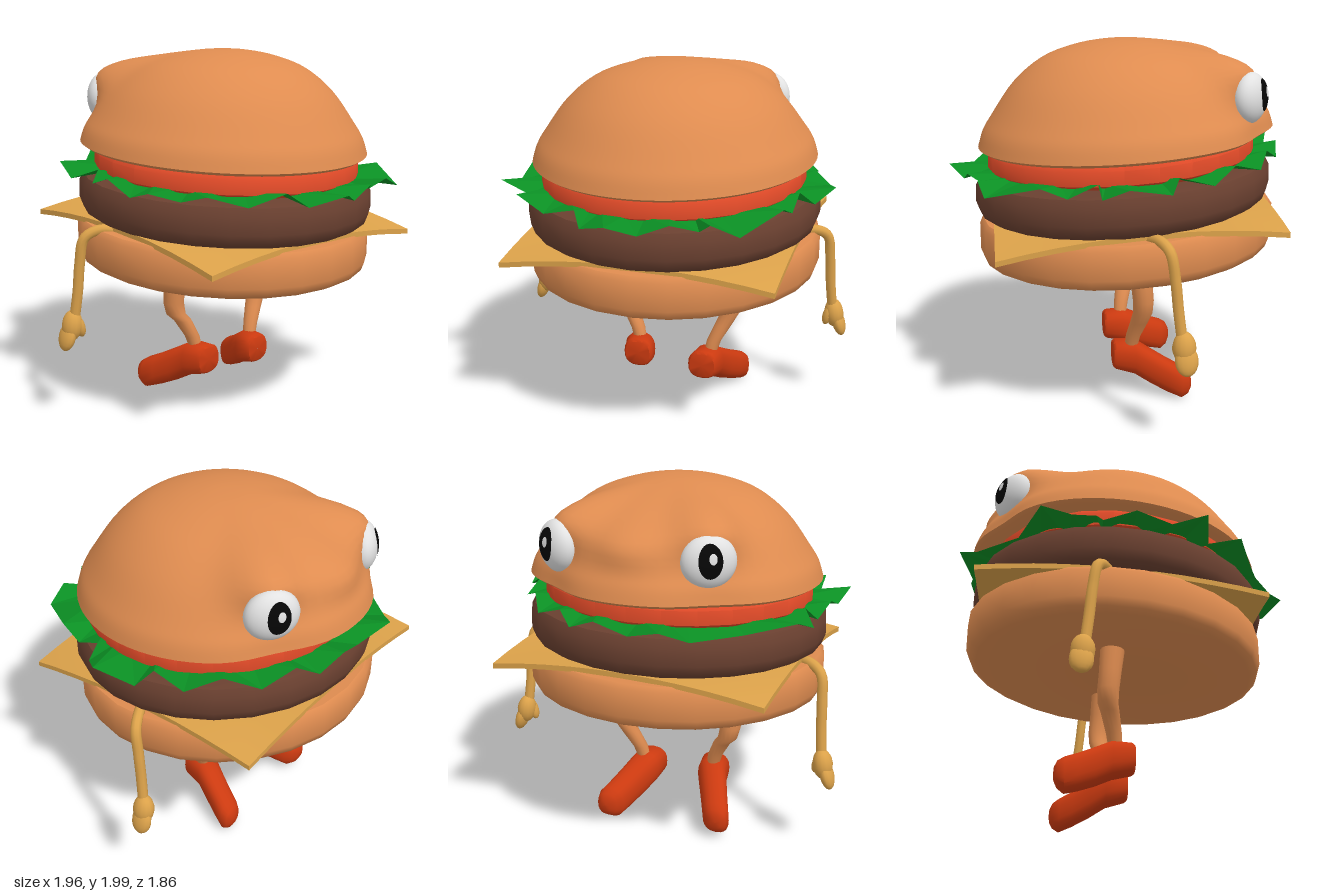
import * as THREE from 'three';
import { mergeVertices, toCreasedNormals } from 'three/addons/utils/BufferGeometryUtils.js';

const mat = (name, color, side = THREE.FrontSide) => {
  const m = new THREE.MeshStandardMaterial({ color, side });
  m.name = name;
  return m;
};

// Visit every vertex with a rule that edits it in place
function bend(geo, rule) {
  const p = geo.attributes.position, v = new THREE.Vector3();
  for (let i = 0; i < p.count; i++) {
    v.fromBufferAttribute(p, i);
    rule(v);
    p.setXYZ(i, v.x, v.y, v.z);
  }
  return geo;
}

// Weld seams, then smooth everything below the crease angle
function smooth(geo, crease = 0.8) {
  geo.deleteAttribute('uv');
  geo.deleteAttribute('normal');
  return toCreasedNormals(mergeVertices(geo, 1e-4), crease);
}

// Skin oval rings [x, y, z, ru, rv], listed bottom-to-top (axis y) or heel-to-toe (axis -z)
function loft(rings, axis, sides = 14, power = 1) {
  const pos = [], idx = [], n = sides;
  const pw = (a) => Math.sign(a) * Math.abs(a) ** power;
  rings.forEach(([x, y, z, ru, rv]) => {
    for (let i = 0; i < n; i++) {
      const t = (i / n) * Math.PI * 2, c = pw(Math.cos(t)), s = pw(Math.sin(t));
      if (axis === 'y') pos.push(x + ru * s, y, z + rv * c);
      else pos.push(x + ru * c, y - rv * s, z);
    }
  });
  for (let r = 0; r < rings.length - 1; r++) {
    for (let i = 0; i < n; i++) {
      const a = r * n + i, b = r * n + ((i + 1) % n), c = b + n, d = a + n;
      idx.push(a, b, d, c, d, b);
    }
  }
  const g = new THREE.BufferGeometry();
  g.setAttribute('position', new THREE.Float32BufferAttribute(pos, 3));
  g.setIndex(idx);
  return toCreasedNormals(g, 0.9);
}

export function createModel() {
  const root = new THREE.Group();
  const M = {
    bun: mat('bun', 0xdf8c50), patty: mat('patty', 0x6a4030),
    cheese: mat('cheese', 0xdca24a), tomato: mat('tomato', 0xe04a28),
    lettuce: mat('lettuce', 0x0b9024, THREE.DoubleSide), shoe: mat('shoe', 0xcc3a10),
    white: mat('eyeWhite', 0xe2e2e2), black: mat('pupil', 0x060606),
  };
  const add = (name, geo, material, parent = root) => {
    const m = new THREE.Mesh(geo, material);
    m.name = name;
    parent.add(m);
    return m;
  };

  // Round layers, all rising towards the face side (-z)
  const layer = (name, profile, cz, slope, material, segments = 26) => {
    const g = new THREE.LatheGeometry(profile.map(([r, y]) => new THREE.Vector2(r, y)), segments);
    bend(g, (v) => { v.z += cz; v.y -= slope * v.z; });
    add(name, smooth(g), material);
  };
  layer('bottomBun', [[0, 0.822], [0.765, 0.824], [0.805, 0.845], [0.822, 0.89], [0.822, 1.04],
    [0.8, 1.066], [0, 1.066]], -0.05, 0.064, M.bun);
  layer('patty', [[0, 1.088], [0.76, 1.09], [0.8, 1.115], [0.82, 1.17], [0.818, 1.26],
    [0.795, 1.305], [0.74, 1.318], [0, 1.318]], -0.03, 0.068, M.patty);
  layer('tomato', [[0, 1.325], [0.7, 1.33], [0.737, 1.355], [0.737, 1.43], [0.71, 1.458],
    [0, 1.46]], -0.02, 0.068, M.tomato);

  // Square cheese slice with drooping corners
  const cheese = new THREE.BoxGeometry(1.49, 0.028, 1.49, 10, 1, 10);
  bend(cheese, (v) => {
    v.y += 1.082 - 0.065 * (v.z - 0.05) - 0.062 * (v.x * v.z / 0.555) ** 2;
  });
  const slice = add('cheeseSlice', smooth(cheese, 0.5), M.cheese);
  slice.position.z = -0.05;
  slice.rotation.y = -0.02;

  // Ragged lettuce leaf: outline in x, z joined to a smaller inner loop
  const leaf = [[-0.36, -0.83], [-0.24, -0.93], [-0.05, -0.86], [0.12, -0.88], [0.27, -0.84],
    [0.36, -0.76], [0.53, -0.68], [0.63, -0.52], [0.76, -0.38], [0.77, -0.2], [0.86, -0.15],
    [0.92, 0.07], [0.83, 0.19], [0.75, 0.2], [0.74, 0.35], [0.72, 0.48], [0.56, 0.75],
    [0.42, 0.78], [0.35, 0.72], [0.23, 0.83], [0.07, 0.85], [-0.07, 0.93], [-0.24, 0.82],
    [-0.3, 0.73], [-0.5, 0.66], [-0.69, 0.57], [-0.7, 0.39], [-0.88, 0.36], [-0.85, 0.18],
    [-0.85, 0], [-0.82, -0.17], [-0.76, -0.2], [-0.84, -0.33], [-0.8, -0.49], [-0.56, -0.6]];
  const lp = [];
  const outer = leaf.map(([x, z], i) => [x, 1.343 - 0.065 * z + (i % 2 ? 0.035 : -0.025), z]);
  const inner = leaf.map(([x, z]) => {
    const k = 0.66 / Math.hypot(x, z);
    return [x * k, 1.352 - 0.068 * z * k, z * k];
  });
  leaf.forEach((_, i) => {
    const j = (i + 1) % leaf.length;
    lp.push(...inner[i], ...inner[j], ...outer[i], ...outer[j], ...outer[i], ...inner[j]);
  });
  const leafGeo = new THREE.BufferGeometry();
  leafGeo.setAttribute('position', new THREE.Float32BufferAttribute(lp, 3));
  leafGeo.computeVertexNormals();
  add('lettuce', leafGeo, M.lettuce);

  // Top bun: domed lathe swollen into two brows and a snout over the rim
  const dome = new THREE.SplineCurve([[0.79, 1.475], [0.765, 1.55], [0.72, 1.62], [0.6, 1.78],
    [0.45, 1.9], [0.28, 1.965], [0.12, 1.995], [0, 2]].map(([r, y]) => new THREE.Vector2(r, y)));
  const domePts = [new THREE.Vector2(0, 1.47), new THREE.Vector2(0.5, 1.462),
    new THREE.Vector2(0.765, 1.458), ...dome.getPoints(30)];
  domePts[domePts.length - 1].x = 0;
  const bell = (t, s) => Math.exp(-((t / s) ** 2));
  const top = bend(new THREE.LatheGeometry(domePts, 72), (v) => {
    const r = Math.hypot(v.x, v.z);
    const phi = Math.abs(Math.atan2(v.x, -v.z));
    const low = THREE.MathUtils.clamp((2 - v.y) / 0.5, 0, 1);
    const fade = THREE.MathUtils.smoothstep(r, 0.1, 0.45);
    const brow = bell(phi - 0.62, 0.27) * bell(v.y - 1.83, 0.13);
    const snout = bell(phi, 0.3) * bell(v.y - 1.78, 0.13);
    const dent = 0.05 * low * bell(phi - 0.6, 0.25);
    const k = r > 0.01 ? 1 - dent + fade * (0.155 * brow + 0.1 * snout) / r : 1;
    v.x *= k;
    v.z = v.z * k * 1.035 - 0.05;
    v.y += 0.03 * brow * fade - 0.07 * v.z * low;
  });
  add('topBun', smooth(top, 0.9), M.bun);

  // Eyes: flattened balls with thin pupils and glints following their surface
  const [ea, eb, ed] = [0.14, 0.135, 0.085];
  const patch = (cx, cy, rx, ry, lift) => {
    const g = bend(new THREE.RingGeometry(0.001, 1, 24, 5), (v) => {
      v.x = cx + v.x * rx;
      v.y = cy + v.y * ry;
      v.z = ed * Math.sqrt(Math.max(0, 1 - (v.x / ea) ** 2 - (v.y / eb) ** 2)) + lift;
    });
    g.computeVertexNormals();
    return g;
  };
  for (const s of [-1, 1]) {
    const eye = new THREE.Group();
    eye.name = s > 0 ? 'leftEye' : 'rightEye';
    eye.position.set(s * 0.4 + 0.015, 1.722, -0.64);
    eye.rotation.y = Math.atan2(s * 0.58, -0.81);
    add('eyeball', new THREE.SphereGeometry(1, 28, 20).scale(ea, eb, ed), M.white, eye);
    add('pupil', patch(s * 0.012, 0.02, 0.06, 0.085, 0.004), M.black, eye);
    add('glint', patch(s * 0.012 + 0.01, 0.035, 0.02, 0.027, 0.007), M.white, eye);
    root.add(eye);
  }

  // Arms, hands, legs and shoes
  for (const s of [-1, 1]) {
    const side = s > 0 ? 'left' : 'right';
    const dz = s > 0 ? 0 : -0.06;
    const arm = new THREE.CatmullRomCurve3([[0.7, 1.07, -0.05], [0.79, 1.08, -0.1],
      [0.86, 1.04, -0.14], [0.878, 0.9, -0.165], [0.885, 0.75, -0.18], [0.9, 0.58, -0.2]]
      .map(([x, y, z]) => new THREE.Vector3(s * x, y, z + dz)));
    add(side + 'Arm', new THREE.TubeGeometry(arm, 28, 0.028, 10), M.cheese);

    const hand = new THREE.Group();
    hand.name = side + 'Hand';
    const blob = (name, x, y, z, rx, ry, rz, tilt) => {
      const m = add(name, new THREE.SphereGeometry(1, 14, 10).scale(rx, ry, rz), M.cheese, hand);
      m.position.set(s * x, y, z + dz);
      m.rotation.z = s * tilt;
    };
    blob('palm', 0.91, 0.555, -0.208, 0.054, 0.085, 0.06, 0.15);
    blob('fingers', 0.938, 0.497, -0.215, 0.036, 0.08, 0.06, 0.3);
    blob('thumb', 0.876, 0.545, -0.185, 0.028, 0.06, 0.032, -0.25);
    root.add(hand);

    const lift = s > 0 ? 0 : 0.03;
    const leg = [[0.215, 0.28, -0.05, 0.036], [0.235, 0.36, -0.06, 0.042], [0.285, 0.46, -0.085, 0.05],
      [0.32, 0.53, -0.1, 0.055], [0.336, 0.6, -0.1, 0.058], [0.335, 0.7, -0.09, 0.06],
      [0.325, 0.86, -0.075, 0.067]];
    add(side + 'Leg', loft(leg.map(([x, y, z, r]) => [s * x, y + (y < 0.5 ? lift : 0), z, r, r]), 'y'), M.bun);

    const shoe = [[0.19, 0.235, 0.05, 0.001, 0.001], [0.19, 0.235, 0.05, 0.075, 0.072],
      [0.19, 0.235, 0.035, 0.086, 0.084], [0.205, 0.222, -0.07, 0.088, 0.1],
      [0.245, 0.172, -0.16, 0.083, 0.1], [0.285, 0.128, -0.25, 0.08, 0.096],
      [0.315, 0.1, -0.32, 0.078, 0.092], [0.325, 0.1, -0.355, 0.06, 0.068],
      [0.33, 0.1, -0.372, 0.03, 0.035], [0.33, 0.1, -0.375, 0.001, 0.001]];
    add(side + 'Shoe', loft(shoe.map(([x, y, z, a, b]) =>
      [s * x - (s > 0 ? 0 : 0.015), y + lift, z, a, b]), 'z', 20, 0.8), M.shoe);
  }
  return root;
}
